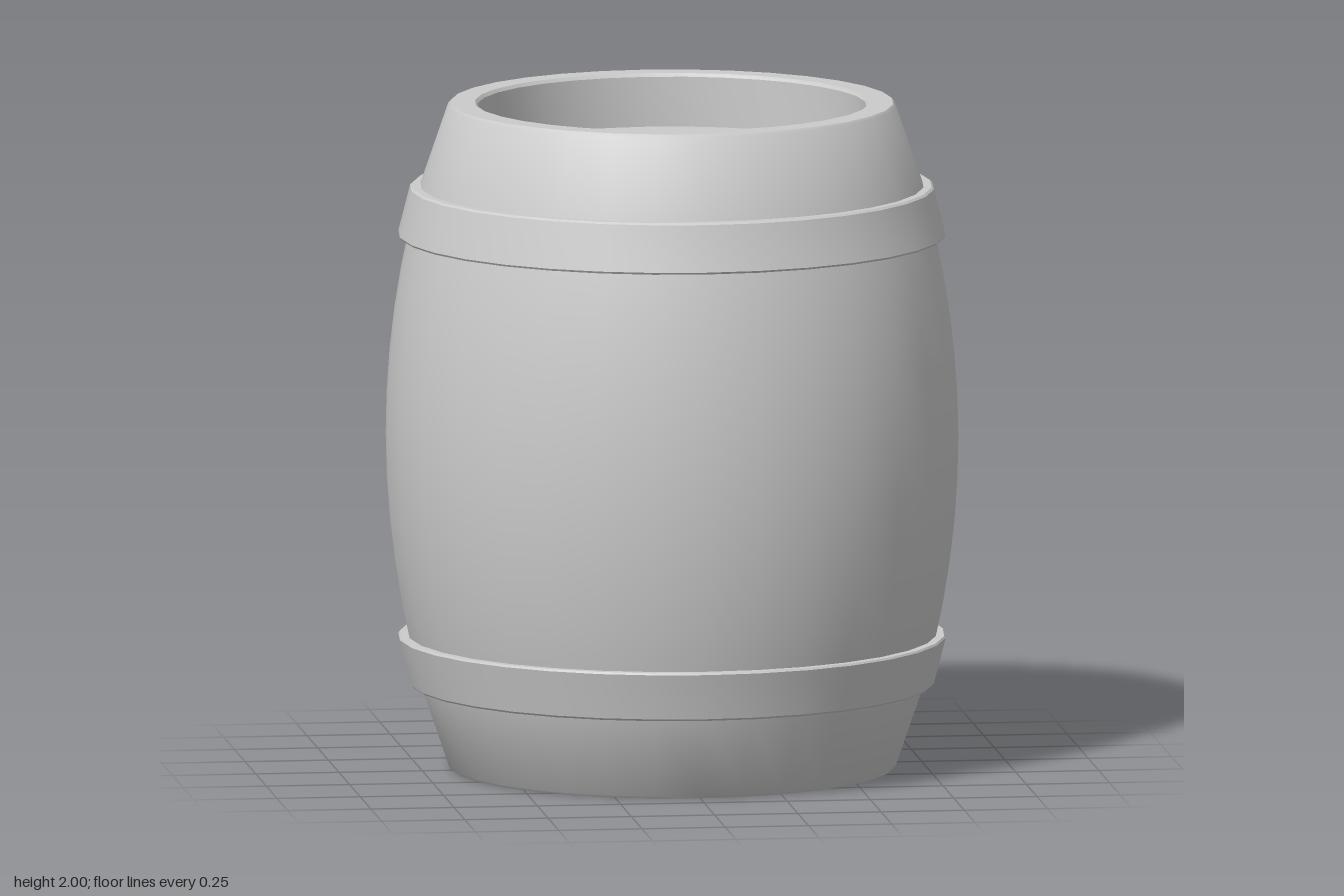
import * as THREE from 'three';
import { toCreasedNormals } from 'three/addons/utils/BufferGeometryUtils.js';

const SIDES = 32;
const material = new THREE.MeshStandardMaterial({ color: 0xcccccc });

// Bulging stave radius at height y
const bulge = (y) => 0.855 - 0.185 * (y - 1) ** 2;

// Revolve a profile listed counter-clockwise, keeping sharp edges crisp
function turned(name, profile) {
  const points = profile.map(([r, y]) => new THREE.Vector2(r, y));
  const mesh = new THREE.Mesh(toCreasedNormals(new THREE.LatheGeometry(points, SIDES), 0.5), material);
  mesh.name = name;
  return mesh;
}

// Mirror a profile about mid-height, reversed so it still runs counter-clockwise
const flip = (profile) => profile.map(([r, y]) => [r, 2 - y]).reverse();

export function createModel() {
  const barrel = new THREE.Group();
  barrel.name = 'barrel';

  // Body: sunken lid, chamfered rim and curved staves, the same at both ends
  const end = [[0, 0.16], [0.58, 0.16], [0.58, 0.01], [0.588, 0], [0.66, 0], [0.668, 0.008]];
  const staves = [];
  for (let y = 0.25; y < 1.76; y += 0.125) staves.push([bulge(y), y]);
  barrel.add(turned('body', [...end, ...staves, ...flip(end)]));

  // Hoops: tapered bands with slightly chamfered edges
  const hoop = [
    [0.72, 0.25], [0.775, 0.25], [0.782, 0.256],
    [0.817, 0.394], [0.813, 0.4], [0.76, 0.4], [0.72, 0.25],
  ];
  barrel.add(turned('lowerHoop', hoop), turned('upperHoop', flip(hoop)));

  return barrel;
}
